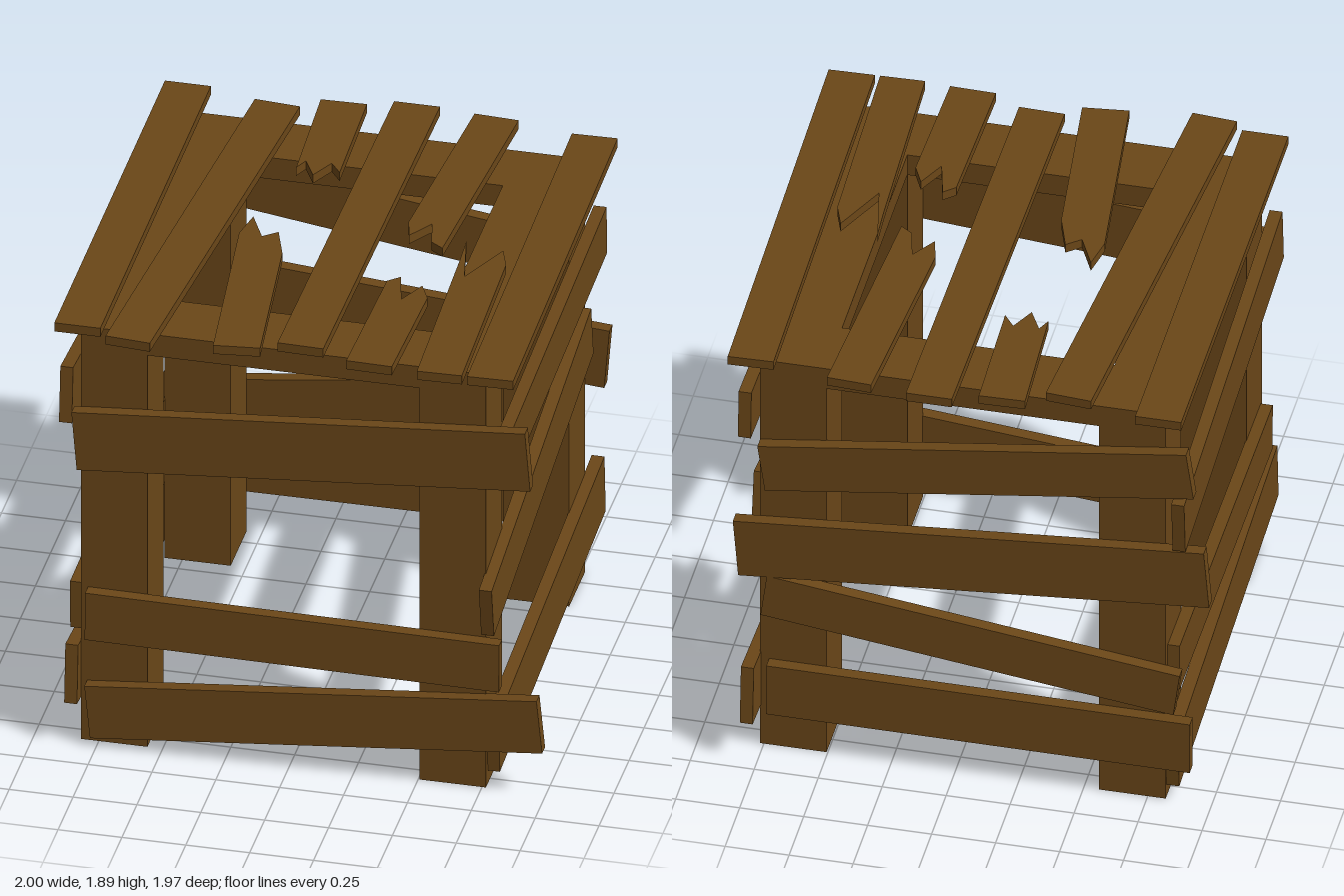
import * as THREE from 'three';

export function createModel() {
  const crate = new THREE.Group();
  crate.name = 'brokenCrate';
  const wood = new THREE.MeshStandardMaterial({ color: 0x6b4718, flatShading: true });

  function box(parent, name, w, h, d, x, y, z) {
    const mesh = new THREE.Mesh(new THREE.BoxGeometry(w, h, d), wood);
    mesh.name = name;
    mesh.position.set(x, y, z);
    parent.add(mesh);
    return mesh;
  }

  // Corner posts and the flat rails joining their tops
  const X = [-0.69, 0.635], Z = [-0.7, 0.687];
  const post = 0.26, height = 1.83, rail = 0.095;
  const midX = (X[0] + X[1]) / 2, midZ = (Z[0] + Z[1]) / 2;
  for (const x of X) {
    for (const z of Z) box(crate, 'cornerPost', post, height, post + 0.006, x, height / 2, z);
    box(crate, 'sideTopRail', post, rail, Z[1] - Z[0] - post, x, height - rail / 2, midZ);
  }
  for (const z of Z) box(crate, 'crossTopRail', X[1] - X[0] - post, rail, post + 0.006, midX, height - rail / 2, z);

  // Crooked slats on one wall: [u0, y0, u1, y1, width, depth], centre line from end to end
  function wall(name, turn, slats) {
    const group = new THREE.Group();
    group.name = name + 'Slats';
    group.rotation.y = turn;
    for (const [u0, y0, u1, y1, width, depth] of slats) {
      const length = Math.hypot(u1 - u0, y1 - y0);
      const slat = box(group, name + 'Slat', length, width, 0.05, (u0 + u1) / 2, (y0 + y1) / 2, depth);
      slat.rotation.z = Math.atan2(y1 - y0, u1 - u0);
    }
    crate.add(group);
  }
  wall('front', 0, [
    [-0.835, 1.347, 0.94, 1.492, 0.253, 0.847],
    [-0.793, 0.575, 0.828, 0.562, 0.207, 0.845],
    [-0.785, 0.15, 0.985, 0.322, 0.228, 0.842],
  ]);
  wall('back', 0, [
    [-0.925, 1.587, 0.75, 1.349, 0.207, -0.857],
    [-0.99, 1.103, 0.85, 0.952, 0.255, -0.857],
    [-0.873, 0.535, 0.74, 0.745, 0.19, -0.857],
    [-0.925, 0.29, 0.73, 0.295, 0.23, -0.857],
  ]);
  // On the side walls u runs along z and depth along -x
  wall('left', -Math.PI / 2, [
    [-0.812, 1.54, 0.798, 1.457, 0.208, -0.83],
    [-0.762, 1.115, 0.897, 0.82, 0.223, -0.785],
    [-0.965, 0.32, 0.797, 0.183, 0.253, -0.787],
  ]);
  wall('right', -Math.PI / 2, [
    [-0.893, 1.345, 0.8, 1.505, 0.235, 0.883],
    [-0.8, 0.607, 0.8, 0.58, 0.205, 0.842],
    [-0.83, 0.182, 0.877, 0.317, 0.25, 0.845],
  ]);

  // Lid boards, whole and splintered, as x, z outlines
  const boards = {
    lidBoardA: [[-0.905, -0.94], [-0.725, -0.94], [-0.722, 0.915], [-0.902, 0.915]],
    lidBoardB: [[-0.54, -0.885], [-0.36, -0.87], [-0.513, 0.98], [-0.69, 0.965]],
    splinteredBackBoardC: [[-0.295, -0.94], [-0.115, -0.945], [-0.1, -0.425], [-0.145, -0.485],
      [-0.195, -0.385], [-0.245, -0.48], [-0.27, -0.425]],
    splinteredFrontBoardC: [[-0.345, -0.03], [-0.28, 0.105], [-0.225, 0.06], [-0.175, 0.21],
      [-0.095, 0.92], [-0.275, 0.94], [-0.37, 0.1]],
    lidBoardD: [[-0.02, -0.99], [0.16, -0.99], [0.14, 0.87], [-0.04, 0.865]],
    splinteredBackBoardE: [[0.3, -0.97], [0.475, -0.96], [0.41, 0.035], [0.36, 0], [0.33, -0.13],
      [0.265, -0.03], [0.24, -0.125]],
    splinteredFrontBoardE: [[0.305, 0.28], [0.345, 0.44], [0.4, 0.325], [0.44, 0.41],
      [0.425, 0.94], [0.245, 0.935], [0.26, 0.32]],
    splinteredFrontBoardF: [[0.487, -0.04], [0.54, 0.22], [0.64, 0], [0.675, 0.1],
      [0.7, 0.945], [0.525, 0.95], [0.495, 0.1]],
    lidBoardG: [[0.695, -0.91], [0.873, -0.915], [0.9, 0.94], [0.72, 0.945]],
  };
  for (const [name, outline] of Object.entries(boards)) {
    const shape = new THREE.Shape(outline.map(([x, z]) => new THREE.Vector2(x, -z)));
    const geometry = new THREE.ExtrudeGeometry(shape, { depth: 0.038, bevelEnabled: false });
    geometry.rotateX(-Math.PI / 2);
    const board = new THREE.Mesh(geometry, wood);
    board.name = name;
    board.position.y = 1.85;
    crate.add(board);
  }
  return crate;
}
